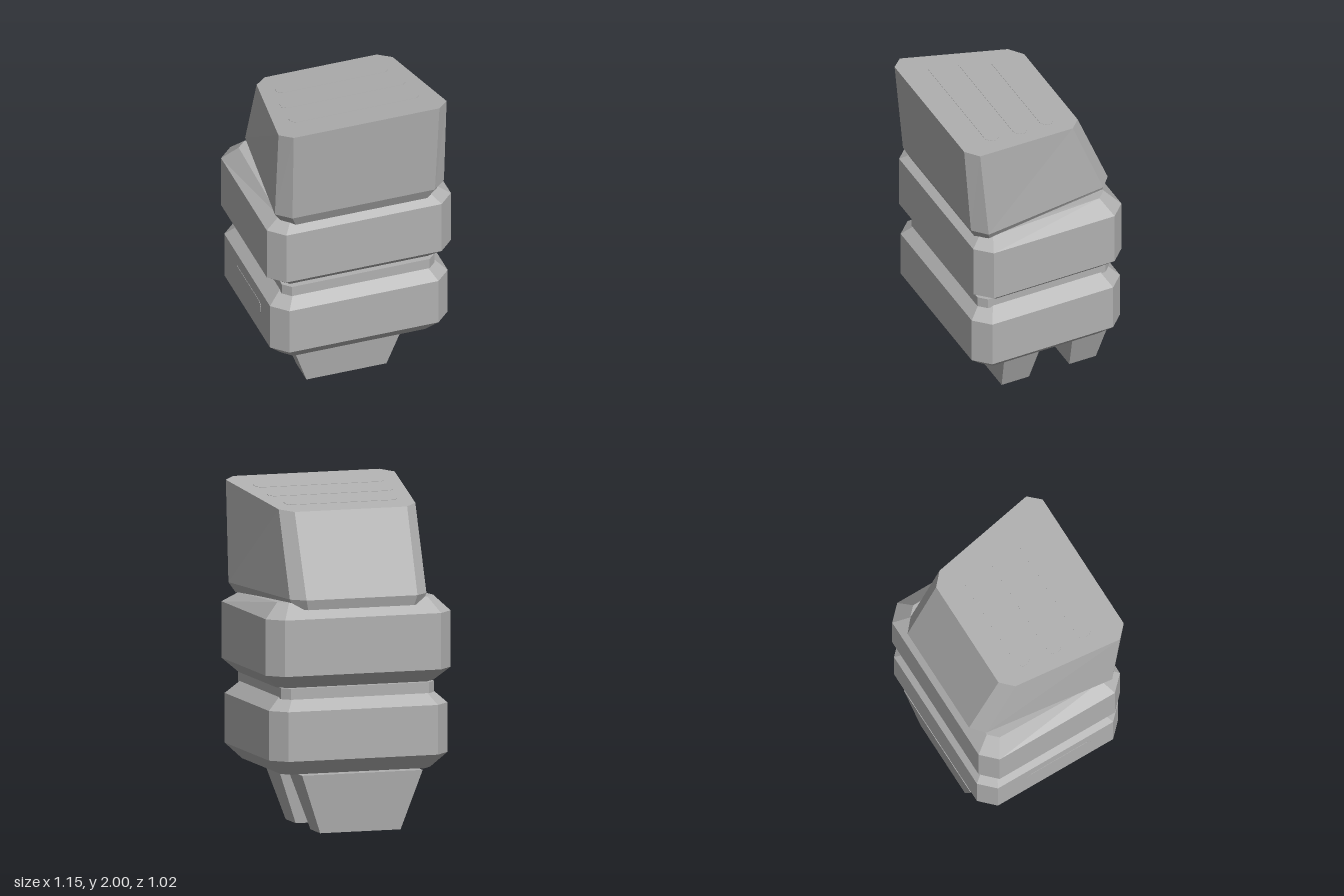
import * as THREE from 'three';

const grey = new THREE.MeshStandardMaterial({ color: 0xb0b0b0, flatShading: true });
grey.name = 'grey metal';

// Skin a stack of cross-sections. Each one lists its +x half from front to back;
// the other half is mirrored.
function loft(name, halves) {
  const rings = halves.map(h => [...h, ...h.map(([x, y, z]) => [-x, y, z]).reverse()]);
  const pos = [];
  const tri = (a, b, c) => pos.push(...a, ...b, ...c);
  const n = rings[0].length;
  for (let r = 0; r + 1 < rings.length; r++) {
    for (let i = 0; i < n; i++) {
      const j = (i + 1) % n, a = rings[r], b = rings[r + 1];
      tri(a[i], a[j], b[j]);
      tri(a[i], b[j], b[i]);
    }
  }
  const bottom = rings[0], top = rings[rings.length - 1];
  for (let i = 1; i + 1 < n; i++) {
    tri(bottom[0], bottom[i + 1], bottom[i]);
    tri(top[0], top[i], top[i + 1]);
  }
  const geo = new THREE.BufferGeometry();
  geo.setAttribute('position', new THREE.Float32BufferAttribute(pos, 3));
  geo.computeVertexNormals();
  const mesh = new THREE.Mesh(geo, grey);
  mesh.name = name;
  return mesh;
}

// Rectangle with cut corners; the front edge may sit at another height
function octagon(x, zFront, zBack, cut, y, yFront = y) {
  return [[x - cut, yFront, zFront], [x, yFront, zFront - cut],
    [x, y, zBack + cut], [x - cut, y, zBack]];
}

const rect = (x, zFront, zBack, y) => [[x, y, zFront], [x, y, zBack]];

// Thin long plate with cut ends, facing +z
function slot(name, halfLength) {
  const h = 0.0435, c = 0.025, L = halfLength;
  const shape = new THREE.Shape([
    [L, -h + c], [L, h - c], [L - c, h], [-L + c, h],
    [-L, h - c], [-L, -h + c], [-L + c, -h], [L - c, -h],
  ].map(p => new THREE.Vector2(...p)));
  const mesh = new THREE.Mesh(
    new THREE.ExtrudeGeometry(shape, { depth: 0.004, bevelEnabled: false }), grey);
  mesh.name = name;
  return mesh;
}

export function createModel() {
  const model = new THREE.Group();
  model.name = 'segmented block';

  // Tapered prongs
  model.add(loft('frontProng', [rect(0.25, 0.16, -0.02, 0), rect(0.375, 0.2, -0.055, 0.352)]));
  model.add(loft('backProng', [rect(0.25, -0.285, -0.46, 0), rect(0.375, -0.25, -0.497, 0.352)]));

  // Two bevelled body blocks with a neck between them
  model.add(loft('lowerBlock', [
    octagon(0.465, 0.38, -0.425, 0.055, 0.35),
    octagon(0.555, 0.465, -0.51, 0.09, 0.44),
    octagon(0.555, 0.465, -0.51, 0.09, 0.735),
    octagon(0.475, 0.39, -0.435, 0.06, 0.81),
  ]));
  model.add(loft('neckRing', [
    octagon(0.477, 0.41, -0.455, 0.047, 0.8),
    octagon(0.477, 0.41, -0.455, 0.047, 0.865),
  ]));
  model.add(loft('neckCore', [
    octagon(0.44, 0.36, -0.41, 0.045, 0.78),
    octagon(0.44, 0.36, -0.41, 0.045, 0.92),
  ]));
  model.add(loft('upperBlock', [
    octagon(0.49, 0.375, -0.42, 0.06, 0.865),
    octagon(0.575, 0.465, -0.51, 0.09, 0.945),
    octagon(0.575, 0.465, -0.51, 0.09, 1.28),
    octagon(0.485, 0.39, -0.42, 0.055, 1.37, 1.335),
  ]));

  // Wedge-shaped head, narrower at the back, with a sloping top
  const slope = 0.11 / 0.795;
  const topY = z => 2 - (0.51 - z) * slope;
  model.add(loft('head', [
    [[0.41, 1.31, 0.42], [0.49, 1.33, 0.365], [0.4, 1.33, -0.415], [0.33, 1.33, -0.475]],
    [[0.445, 1.39, 0.46], [0.528, 1.39, 0.385], [0.425, 1.39, -0.42], [0.345, 1.39, -0.49]],
    [[0.455, topY(0.51), 0.51], [0.525, topY(0.44), 0.44],
      [0.425, topY(-0.22), -0.22], [0.35, topY(-0.29), -0.29]],
  ]));

  // Slots across the sloping top
  for (const [z, halfLength] of [[-0.1, 0.347], [0.094, 0.387], [0.288, 0.401]]) {
    const s = slot('topSlot', halfLength);
    s.position.set(0, topY(z) - 0.002, z);
    s.rotation.x = -Math.PI / 2 - Math.atan(slope);
    model.add(s);
  }

  // Single slot on the right side of the lower block
  const side = slot('sideSlot', 0.22);
  side.position.set(-0.553, 0.61, 0);
  side.rotation.y = -Math.PI / 2;
  model.add(side);

  return model;
}
